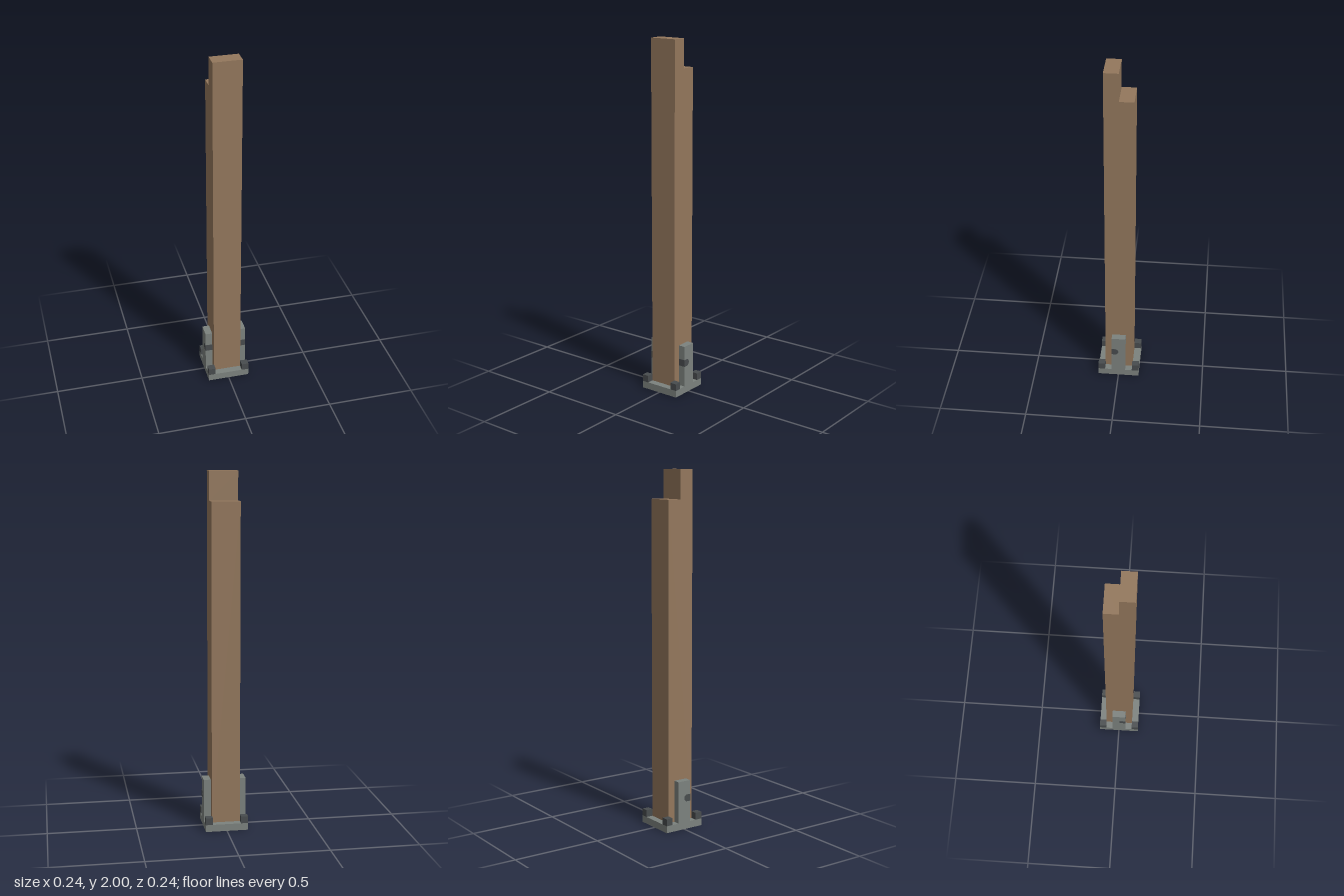
import * as THREE from 'three';

export function createModel() {
  const post = new THREE.Group();
  post.name = 'timberPost';

  const material = (name, color) => {
    const m = new THREE.MeshStandardMaterial({ color });
    m.name = name;
    return m;
  };
  const wood = material('wood', 0x93775c);
  const steel = material('steel', 0x7c827e);
  const darkSteel = material('darkSteel', 0x484c4e);

  const add = (name, geometry, mat, x, y, z) => {
    const mesh = new THREE.Mesh(geometry, mat);
    mesh.name = name;
    mesh.position.set(x, y, z);
    post.add(mesh);
    return mesh;
  };

  // Extrudes a (z, y) outline along x, centred on x = 0
  const sideProfile = (points, width) => {
    const shape = new THREE.Shape(points.map(([z, y]) => new THREE.Vector2(-z, y)));
    return new THREE.ExtrudeGeometry(shape, { depth: width, bevelEnabled: false })
      .translate(0, 0, -width / 2)
      .rotateY(Math.PI / 2);
  };

  // Timber with a half-lap notch cut from the back of its top
  add('timber', sideProfile([
    [0.08, 0.04], [-0.08, 0.04], [-0.08, 1.84], [0, 1.84], [0, 2], [0.08, 2],
  ], 0.16), wood, 0, 0, 0);

  // Steel shoe
  add('basePlate', new THREE.BoxGeometry(0.24, 0.04, 0.24), steel, 0, 0.02, 0);

  // Bolt set flush into the front edge of each bracket, rounded at the back
  const boltGeometry = sideProfile([
    [0.041, 0.16], [0.014, 0.16], [0.003, 0.17], [0, 0.18],
    [0.003, 0.19], [0.014, 0.2], [0.041, 0.2],
  ], 0.042);

  for (const side of [-1, 1]) {
    add('sideBracket', new THREE.BoxGeometry(0.04, 0.24, 0.08), steel, side * 0.1, 0.16, 0);
    add('bracketBolt', boltGeometry, darkSteel, side * 0.1, 0, 0);

    // Anchor blocks on the corners of the plate
    for (const end of [-1, 1]) {
      add('cornerAnchor', new THREE.BoxGeometry(0.04, 0.04, 0.04), darkSteel, side * 0.1, 0.06, end * 0.1);
    }
  }
  return post;
}
